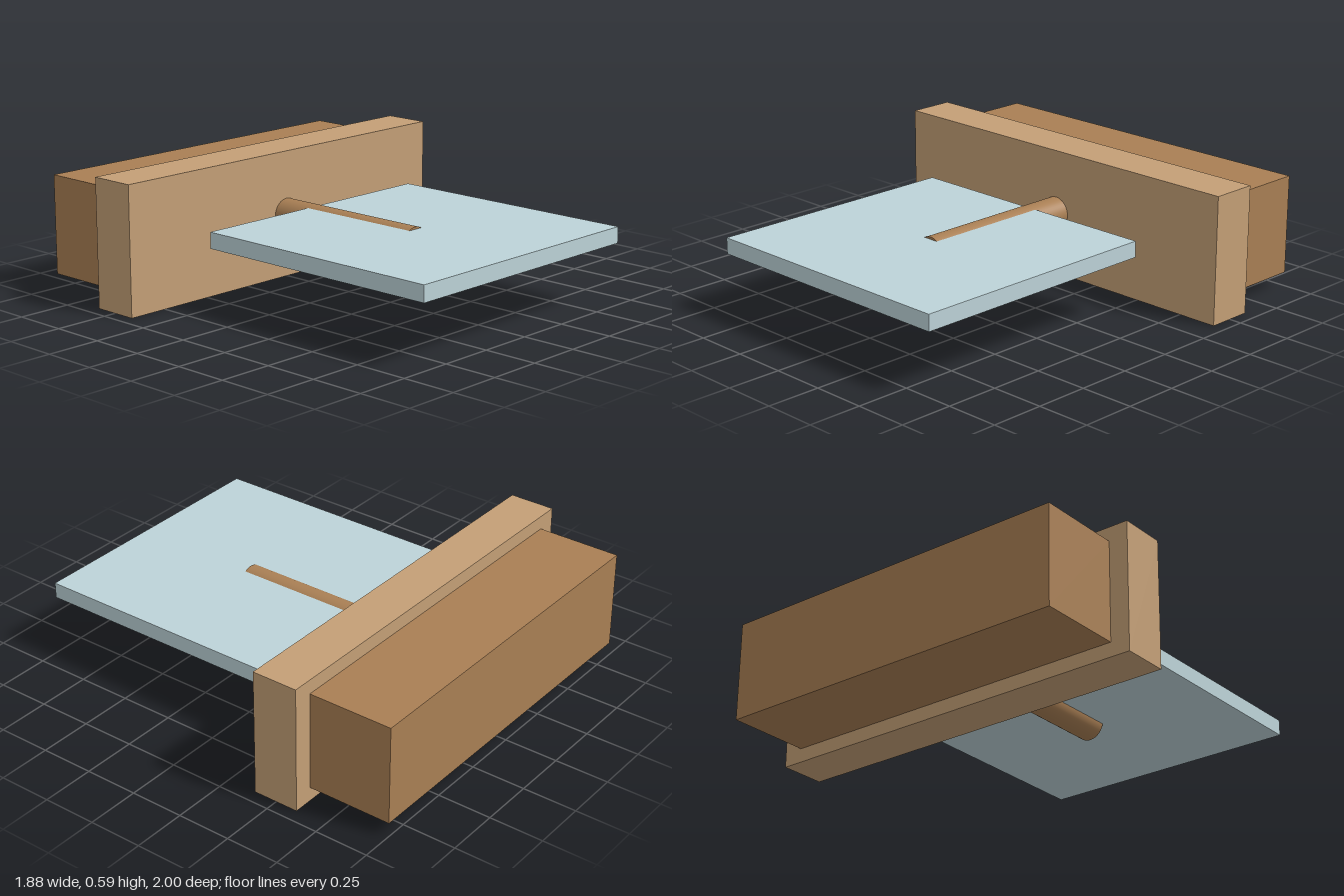
import * as THREE from 'three';

const AXIS_Y = 0.293; // shared centre height of wall blocks and peg

export function createModel() {
  const group = new THREE.Group();
  const material = (color) => new THREE.MeshStandardMaterial({ color });
  const lightWood = material(0xc49f76);
  const darkWood = material(0xa97f54);
  const glass = material(0xbdd3d8);

  const add = (name, geometry, mat, y, z) => {
    const mesh = new THREE.Mesh(geometry, mat);
    mesh.name = name;
    mesh.position.set(0, y, z);
    group.add(mesh);
    return mesh;
  };
  // Box centred on x, running from z0 (back) to z1 (front)
  const block = (name, width, height, z0, z1, mat, y = AXIS_Y) =>
    add(name, new THREE.BoxGeometry(width, height, z1 - z0), mat, y, (z0 + z1) / 2);

  // Rear block and the wider plate in front of it
  block('rearBlock', 1.7, 0.456, -1, -0.605, darkWood);
  block('mountingPlate', 1.88, 0.586, -0.605, -0.39, lightWood);

  // Round peg reaching forward from the plate, half sunk into the shelf
  const peg = new THREE.CylinderGeometry(0.073, 0.073, 0.782, 48).rotateX(Math.PI / 2);
  add('supportPeg', peg, darkWood, AXIS_Y, 0.001);

  // Thin flat shelf
  block('shelf', 1.274, 0.074, -0.216, 1, glass, 0.318);

  return group;
}
